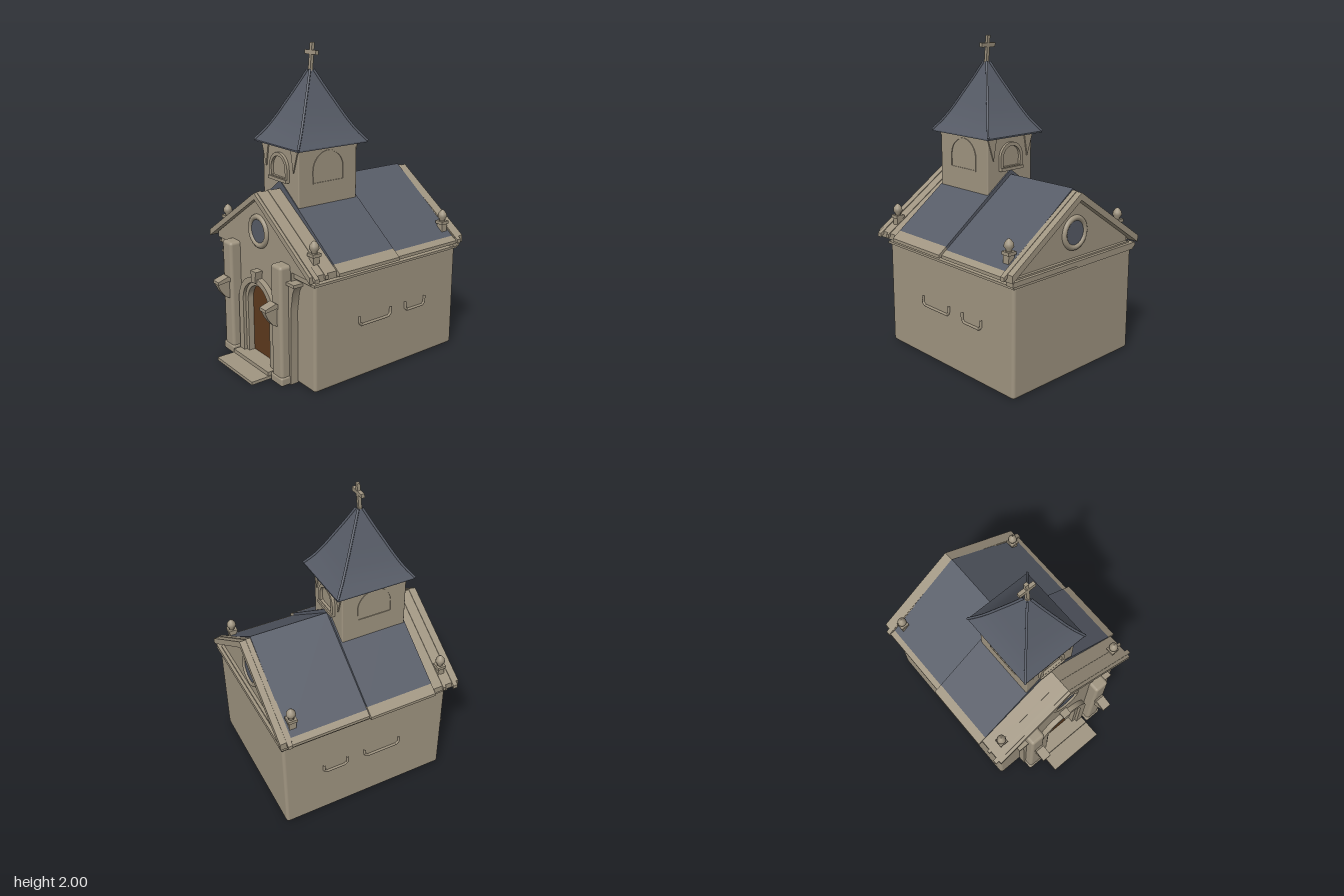
import * as THREE from 'three';
import { toCreasedNormals } from 'three/addons/utils/BufferGeometryUtils.js';
import { RoundedBoxGeometry } from 'three/addons/geometries/RoundedBoxGeometry.js';

export function createModel() {
  const root = new THREE.Group();
  const stone = new THREE.MeshStandardMaterial({ name: 'stone', color: 0xa09581 });
  const slate = new THREE.MeshStandardMaterial({ name: 'slate', color: 0x575c67 });
  const wood = new THREE.MeshStandardMaterial({ name: 'doorWood', color: 0x5e3a1d });

  const add = (name, geo, mat = stone, parent = root) => {
    const m = new THREE.Mesh(geo, mat);
    m.name = name;
    parent.add(m);
    return m;
  };
  // box given by its limits
  const box = (name, x0, x1, y0, y1, z0, z1, mat = stone, r = 0) => {
    const s = [x1 - x0, y1 - y0, z1 - z0];
    const g = r ? new RoundedBoxGeometry(...s, 3, r) : new THREE.BoxGeometry(...s);
    return add(name, g.translate((x0 + x1) / 2, (y0 + y1) / 2, (z0 + z1) / 2), mat);
  };
  const poly = (pts) => new THREE.Shape(pts.map((p) => new THREE.Vector2(...p)));
  // outline in x/y pushed from z0 to z1
  const prism = (shape, z0, z1) => toCreasedNormals(
    new THREE.ExtrudeGeometry(shape, { depth: z1 - z0, bevelEnabled: false, curveSegments: 20 }).translate(0, 0, z0), 0.6);
  // upright round-headed outline
  const arch = (Type, half, y0, spring) => {
    const s = new Type();
    s.moveTo(-half, y0);
    s.lineTo(half, y0);
    s.lineTo(half, spring);
    s.absarc(0, spring, half, 0, Math.PI, false);
    s.lineTo(-half, y0);
    return s;
  };
  const archFrame = (outer, yo, so, inner, yi, si) => {
    const s = arch(THREE.Shape, outer, yo, so);
    s.holes.push(arch(THREE.Path, inner, yi, si));
    return s;
  };
  // inverted V band: ridge height, eave point, vertical thickness
  const chevron = (top, ex, ey, t) => poly([[0, top], [-ex, ey], [-ex, ey - t], [0, top - t], [ex, ey - t], [ex, ey]]);

  // main walls
  box('walls', -0.52, 0.52, 0, 0.685, -0.68, 0.465, stone, 0.02);
  box('cornice', -0.53, 0.53, 0.675, 0.69, -0.69, 0.475);
  box('corniceBand', -0.5, 0.5, 0.68, 0.73, -0.675, 0.48);
  add('gableWall', prism(poly([[-0.5, 0.72], [0.5, 0.72], [0.5, 0.755], [0, 1.09], [-0.5, 0.755]]), -0.655, 0.5));
  box('backCornice', -0.54, 0.54, 0.69, 0.72, -0.695, -0.64);

  // roof in two sections, with stone eave strips
  const roofSection = (name, top, ex, ey, z0, z1) => {
    const slope = (top - ey) / ex, sx = 0.535;
    add(name, prism(chevron(top, sx, top - slope * sx, 0.06), z0, z1), slate);
    for (const s of [-1, 1]) {
      const y = top - slope * sx;
      const pts = [[s * sx, y], [s * ex, ey], [s * ex, ey - 0.02], [s * 0.48, ey - 0.02], [s * 0.48, y - 0.01]];
      add(name + 'Eave', prism(poly(pts), z0, z1));
    }
  };
  roofSection('frontRoof', 1.18, 0.59, 0.75, -0.12, 0.34);
  roofSection('rearRoof', 1.15, 0.57, 0.745, -0.635, -0.12);

  // gable copings
  add('frontCoping', prism(chevron(1.13, 0.56, 0.76, 0.04), 0.34, 0.53));
  add('frontCopingTrim', prism(chevron(1.135, 0.585, 0.75, 0.025), 0.48, 0.51));
  add('frontCopingBackTrim', prism(chevron(1.135, 0.575, 0.755, 0.025), 0.41, 0.43));
  add('backCoping', prism(chevron(1.135, 0.555, 0.765, 0.045), -0.705, -0.63));
  add('backCopingTrim', prism(chevron(1.14, 0.58, 0.752, 0.025), -0.665, -0.635));

  // round gable windows
  for (const [name, z, back] of [['front', 0.5, false], ['back', -0.655, true]]) {
    const g = new THREE.Group();
    g.name = name + 'RoundWindow';
    g.position.set(0, 0.885, z);
    if (back) g.rotation.y = Math.PI;
    root.add(g);
    add('windowRing', new THREE.TorusGeometry(0.09, 0.018, 10, 32), stone, g);
    add('windowPane', new THREE.CircleGeometry(0.082, 32).translate(0, 0, 0.006), slate, g);
  }

  // corner finials
  const finial = [[0, 0], [0.02, 0], [0.016, 0.01], [0.03, 0.03], [0.027, 0.05], [0.014, 0.068], [0, 0.078]]
    .map((p) => new THREE.Vector2(...p));
  for (const x of [-0.477, 0.477]) for (const z of [0.435, -0.595]) {
    box('finialPost', x - 0.022, x + 0.022, 0.75, 0.855, z - 0.022, z + 0.022);
    box('finialCap', x - 0.029, x + 0.029, 0.845, 0.865, z - 0.029, z + 0.029);
    add('finialBall', new THREE.LatheGeometry(finial, 16).translate(x, 0.862, z));
  }

  // tower with arched openings outlined on each side
  box('tower', -0.19, 0.19, 0.9, 1.4, -0.11, 0.335, stone, 0.008);
  const towerZ = 0.1125;
  for (let i = 0; i < 4; i++) {
    const g = new THREE.Group();
    const side = i % 2 === 1;
    g.name = 'towerWindow';
    g.position.z = towerZ;
    g.rotation.y = i * Math.PI / 2;
    root.add(g);
    const d = side ? 0.19 : 0.2225;
    if (side) {
      add('archOutline', prism(archFrame(0.118, 1.175, 1.255, 0.112, 1.181, 1.255), d - 0.01, d + 0.005), stone, g);
    } else {
      add('archFrame', prism(archFrame(0.095, 1.19, 1.26, 0.073, 1.205, 1.26), d - 0.01, d + 0.018), stone, g);
      add('sill', new THREE.BoxGeometry(0.19, 0.02, 0.035).translate(0, 1.19, d + 0.01), stone, g);
      for (const s of [-1, 1])
        add('bracket', prism(poly([[s * 0.19, 1.385], [s * 0.12, 1.385], [s * 0.145, 1.25]].sort((a, b) => a[0] - b[0])), d - 0.005, d + 0.008), stone, g);
    }
  }

  // flared spire with corner ribs
  const spire = [[0.232, 1.393], [0.232, 1.402], [0.185, 1.47], [0.142, 1.55], [0.1, 1.64], [0.058, 1.73], [0.012, 1.835]];
  const spireGeo = new THREE.LatheGeometry(
    [[0, 1.393], ...spire, [0, 1.838]].map(([r, y]) => new THREE.Vector2(r * Math.SQRT2, y)), 4);
  spireGeo.rotateY(Math.PI / 4).scale(1, 1, 1.14).translate(0, 0, 0.103);
  add('spire', toCreasedNormals(spireGeo, 0.5), slate);
  for (const sx of [-1, 1]) for (const sz of [-1, 1]) {
    const path = new THREE.CatmullRomCurve3(
      spire.slice(1).map(([r, y]) => new THREE.Vector3(sx * r, y + 0.002, 0.103 + sz * r * 1.14)));
    add('spireRib', new THREE.TubeGeometry(path, 16, 0.008, 6), slate);
  }

  // slightly leaning cross
  const cross = new THREE.Group();
  cross.name = 'cross';
  cross.position.set(0, 1.825, 0.105);
  cross.rotation.x = -0.09;
  root.add(cross);
  add('crossFoot', new THREE.CylinderGeometry(0.013, 0.018, 0.025, 12), stone, cross);
  add('crossPost', new THREE.BoxGeometry(0.022, 0.175, 0.02).translate(0, 0.087, 0), stone, cross);
  add('crossArm', new THREE.BoxGeometry(0.112, 0.026, 0.022).translate(0, 0.115, 0), stone, cross);

  // entrance front, door and surround
  const facade = poly([[-0.34, 0], [0.34, 0], [0.34, 0.73], [-0.34, 0.73]]);
  facade.holes.push(arch(THREE.Path, 0.125, 0.04, 0.405));
  add('entranceFront', prism(facade, 0.46, 0.5));
  add('door', prism(arch(THREE.Shape, 0.126, 0.04, 0.405), 0.466, 0.474), wood);
  add('doorSurround', prism(archFrame(0.2, 0, 0.385, 0.15, 0.03, 0.4), 0.49, 0.535));
  add('doorInnerSurround', prism(archFrame(0.16, 0, 0.395, 0.122, 0.04, 0.405), 0.475, 0.515));
  add('keystone', prism(poly([[-0.018, 0.56], [0.018, 0.56], [0.03, 0.635], [-0.03, 0.635]]), 0.49, 0.55));
  box('lowerStep', -0.205, 0.205, 0, 0.02, 0.47, 0.705);
  box('upperStep', -0.2, 0.2, 0.015, 0.045, 0.47, 0.585);

  // pilasters with side scrolls and lamp brackets
  for (const s of [-1, 1]) {
    const mx = (x0, x1) => (s > 0 ? [x0, x1] : [-x1, -x0]);
    box('pilaster', ...mx(0.225, 0.33), 0, 0.76, 0.45, 0.572, stone, 0.02);
    box('pilasterBase', ...mx(0.217, 0.338), 0, 0.055, 0.46, 0.578, stone, 0.012);
    const scroll = [[0.32, 0.655], [0.4, 0.655], [0.372, 0.6], [0.352, 0.48], [0.345, 0], [0.32, 0]];
    add('sideScroll', prism(poly(scroll.map(([x, y]) => [s * x, y])), 0.46, 0.515));
    box('scrollCap', ...mx(0.33, 0.405), 0.645, 0.665, 0.46, 0.53);
    // bracket profile in z/y, turned to run across x
    const profile = poly([[0.56, 0.52], [0.585, 0.53], [0.655, 0.505], [0.655, 0.485], [0.635, 0.44], [0.6, 0.395], [0.56, 0.375]]);
    const g = prism(profile, -0.02, 0.02).rotateY(-Math.PI / 2).translate(s * 0.272, 0, 0);
    add('lampBracket', g);
    const lid = poly([[0.56, 0.515], [0.585, 0.533], [0.66, 0.51], [0.66, 0.49], [0.585, 0.5], [0.56, 0.49]]);
    add('lampBracketLid', prism(lid, -0.032, 0.032).rotateY(-Math.PI / 2).translate(s * 0.272, 0, 0));
  }

  // shallow U-shaped sills on the side walls
  for (const s of [-1, 1]) for (const [z0, z1] of [[-0.12, 0.13], [-0.41, -0.245]]) {
    const x = s * 0.522;
    const pts = [[z0, 0.41], [z0, 0.365], [z0 + 0.02, 0.348], [z1 - 0.02, 0.348], [z1, 0.365], [z1, 0.41]]
      .map(([z, y]) => new THREE.Vector3(x, y, z));
    const path = new THREE.CurvePath();
    for (let i = 1; i < pts.length; i++) path.add(new THREE.LineCurve3(pts[i - 1], pts[i]));
    add('sideSill', new THREE.TubeGeometry(path, 30, 0.009, 6));
  }
  return root;
}
